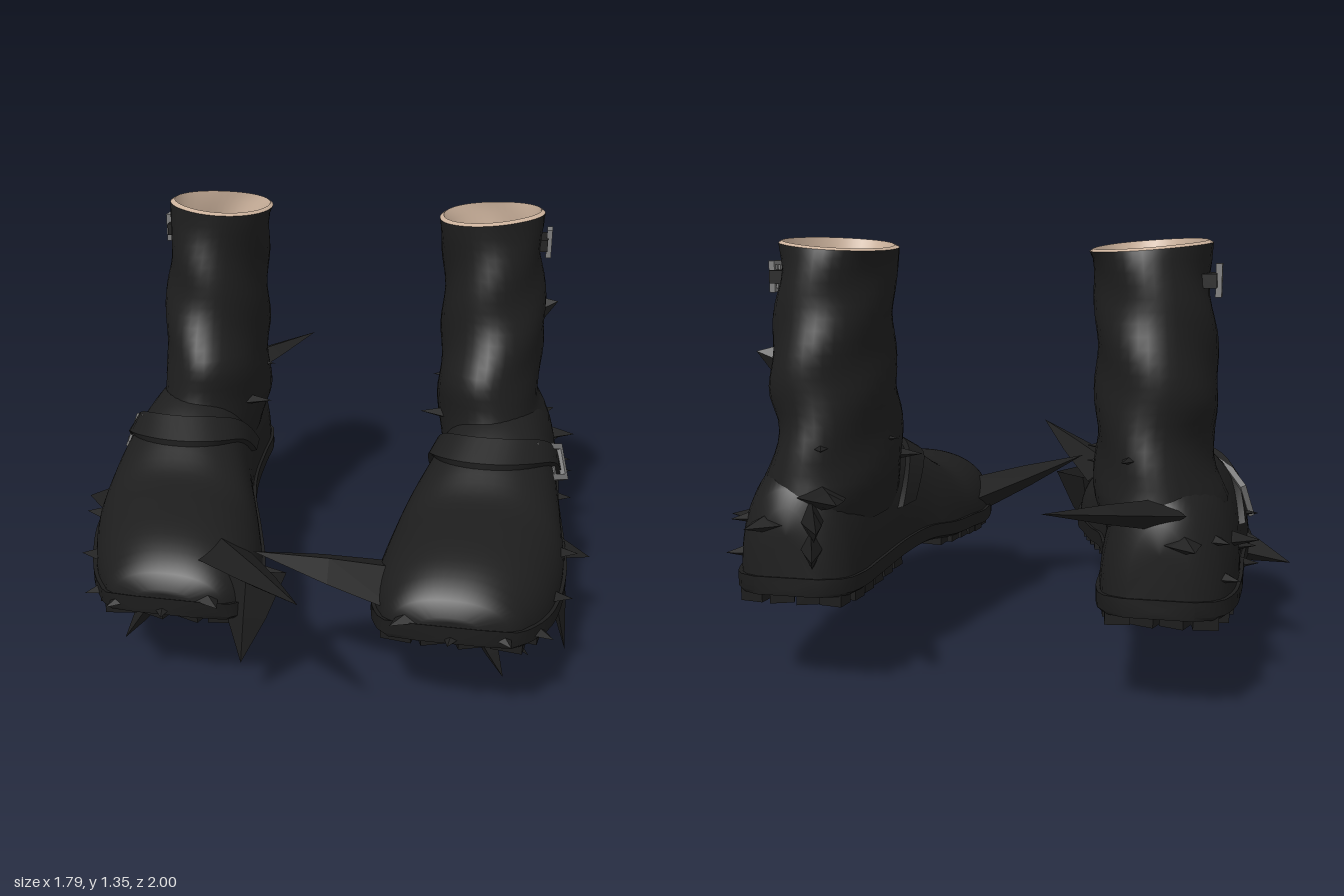
import * as THREE from 'three';
import { toCreasedNormals } from 'three/addons/utils/BufferGeometryUtils.js';

const V = (x, y, z) => new THREE.Vector3(x, y, z);
const material = (name, color, side = THREE.FrontSide) =>
  new THREE.MeshStandardMaterial({ name, color, side });

// Foot sections from heel to toe: z, centre x, half width, top y, sole bottom y
const FOOT = [
  [-0.725, 0.53, 0.09, 0.58, 0.32], [-0.69, 0.53, 0.145, 0.64, 0.315], [-0.6, 0.535, 0.185, 0.69, 0.31],
  [-0.45, 0.54, 0.2, 0.72, 0.31], [-0.2, 0.53, 0.215, 0.73, 0.32], [-0.05, 0.52, 0.235, 0.7, 0.32],
  [0.1, 0.505, 0.265, 0.63, 0.3], [0.25, 0.497, 0.282, 0.56, 0.29], [0.4, 0.485, 0.28, 0.545, 0.275],
  [0.52, 0.475, 0.26, 0.53, 0.28], [0.62, 0.465, 0.22, 0.495, 0.295], [0.69, 0.46, 0.165, 0.445, 0.315],
  [0.715, 0.46, 0.09, 0.41, 0.33],
];
// Shaft sections: y, centre x, half width, front z, back z
const SHAFT = [
  [0.5, 0.52, 0.18, -0.02, -0.71], [0.6, 0.505, 0.195, -0.03, -0.71], [0.7, 0.485, 0.178, -0.05, -0.69],
  [0.8, 0.48, 0.172, -0.055, -0.67], [0.9, 0.487, 0.18, -0.1, -0.67], [1.0, 0.485, 0.177, -0.13, -0.66],
  [1.15, 0.475, 0.17, -0.155, -0.635], [1.25, 0.464, 0.167, -0.165, -0.62], [1.33, 0.457, 0.177, -0.17, -0.61],
];
const sampler = (table) => {
  const it = new THREE.CubicInterpolant(table.map((r) => r[0]), table.flatMap((r) => r.slice(1)), 4);
  return (k) => Array.from(it.evaluate(k));
};
const footTable = sampler(FOOT), shaftTable = sampler(SHAFT);

// Per boot: side, outward offset at the rear and at the toe, long thorns (base, tip, radius, wide axis)
const BOOTS = {
  leftBoot: { side: 1, rear: 0.025, toe: 0.02, thorns: [
    [[0.29, 0.36, 0.48], [-0.12, 0.51, 0.61], 0.14, 'z'], [[0.76, 0.38, 0.2], [0.83, 0, 0.17], 0.085, 'z'],
    [[0.48, 0.6, -0.64], [0.33, 0.64, -0.9], 0.08, 'x'], [[0.5, 0.54, -0.66], [0.4, 0.55, -0.88], 0.08, 'y'],
    [[0.5, 0.46, -0.66], [0.42, 0.465, -0.87], 0.08, 'y'], [[0.68, 0.36, 0.08], [0.89, 0.3, 0.07], 0.13, 'z'],
    [[0.62, 0.97, -0.46], [0.73, 1.01, -0.48], 0.07, 'y'],
  ] },
  rightBoot: { side: -1, rear: 0, toe: -0.09, thorns: [
    [[-0.24, 0.45, 0.54], [0.1, 0.58, 1], 0.1, 'x'], [[-0.53, 0.6, -0.66], [-0.25, 0.67, -1], 0.09, 'x'],
    [[-0.13, 0.45, 0.6], [-0.15, 0.16, 0.68], 0.11, 'x'], [[-0.68, 0.36, 0.04], [-0.9, 0.31, -0.05], 0.13, 'z'],
  ] },
};
// Small thorns shared by both boots: tip x (outward), y, z, radius
const SMALL = [
  [0.8, 0.5, -0.5, 0.075], [0.75, 0.42, -0.66, 0.075], [0.63, 0.53, -0.79, 0.08], [0.79, 0.45, -0.38, 0.07],
  [0.8, 0.36, -0.25, 0.08], [0.79, 0.5, -0.17, 0.06], [0.76, 0.3, 0.6, 0.08], [0.64, 0.34, 0.73, 0.07],
  [0.46, 0.34, 0.755, 0.07], [0.29, 0.38, 0.74, 0.07], [0.81, 0.34, 0.42, 0.08], [0.82, 0.4, 0.24, 0.08],
  [0.62, 0.18, 0.64, 0.07], [0.69, 0.2, 0.54, 0.07], [0.6, 0.2, 0.45, 0.07], [0.73, 0.21, 0.36, 0.07],
  [0.255, 0.66, -0.23, 0.06], [0.28, 0.74, -0.4, 0.06], [0.42, 0.75, -0.71, 0.06], [0.72, 0.53, -0.68, 0.07],
];

const range = (n, a, b) => Array.from({ length: n + 1 }, (_, i) => a + (b - a) * i / n);

// Skin a list of closed rings, facing outward
function loft(rings, caps = true) {
  if (caps) {
    const point = (r) => {
      const c = r.reduce((a, p) => a.add(p), V(0, 0, 0)).divideScalar(r.length);
      return r.map(() => c.clone());
    };
    rings = [point(rings[0]), ...rings, point(rings[rings.length - 1])];
  }
  const n = rings[0].length, pts = rings.flat(), index = [];
  for (let i = 0; i < rings.length - 1; i++)
    for (let j = 0; j < n; j++) {
      const a = i * n + j, b = i * n + (j + 1) % n;
      index.push(a, b, b + n, a, b + n, a + n);
    }
  const mid = pts.reduce((a, p) => a.add(p), V(0, 0, 0)).divideScalar(pts.length);
  let volume = 0;
  for (let i = 0; i < index.length; i += 3) {
    const [a, b, c] = [0, 1, 2].map((k) => pts[index[i + k]].clone().sub(mid));
    volume += a.dot(b.cross(c));
  }
  if (volume < 0) index.reverse();
  const g = new THREE.BufferGeometry().setFromPoints(pts);
  g.setIndex(index);
  g.computeVertexNormals();
  return g;
}

// Rectangular buckle frame with a centre bar, facing +x
function buckleFrame(w, h, t) {
  const rect = (p, x0, y0, x1, y1) => {
    p.moveTo(x0, y0); p.lineTo(x1, y0); p.lineTo(x1, y1); p.lineTo(x0, y1); p.closePath();
    return p;
  };
  const s = rect(new THREE.Shape(), -w / 2, -h / 2, w / 2, h / 2);
  s.holes.push(rect(new THREE.Path(), -w / 2 + t, -h / 2 + t, -t / 3, h / 2 - t));
  s.holes.push(rect(new THREE.Path(), t / 3, -h / 2 + t, w / 2 - t, h / 2 - t));
  return new THREE.ExtrudeGeometry(s, { depth: 0.018, bevelEnabled: false }).rotateY(Math.PI / 2);
}

// Sideways offset of a boot along its length, so the toe can turn in
const offsetAt = (boot, z) => THREE.MathUtils.lerp(boot.rear, boot.toe, THREE.MathUtils.smoothstep(z, 0, 0.65));

function bootParts(boot, mats) {
  const parts = [];
  const add = (name, geo, mat) => parts.push([name, geo, mat]);
  const footAt = (z) => {
    const f = footTable(z);
    f[0] += offsetAt(boot, z);
    return f;
  };
  // Domed foot surface; t runs from the outer edge (0) over the top to the inner edge (PI)
  const footPoint = (z, t, off = 0) => {
    const [cx, w, yt, sb] = footAt(z), c = Math.cos(t), yb = sb + 0.04;
    return V(cx + Math.sign(c) * (w + off) * Math.abs(c) ** 0.88,
      yb + (yt - yb + off) * Math.max(0, Math.sin(t)) ** 0.9, z);
  };
  const shaftRing = (y, scale = 1, back = 0) => {
    const [cx, rx, zf, zb] = shaftTable(y), zc = (zf + zb) / 2 - back, rz = (zf - zb) / 2;
    return range(40, 0, Math.PI * 2).slice(0, 40).map((a) => {
      const wave = 0.006 * Math.sin(3 * a + y * 25);
      const tilt = y > 1.3 ? 0.012 * Math.cos(a) + 0.008 * Math.sin(a) : 0;
      return V(cx + boot.rear + (rx * scale + wave) * Math.cos(a), y + tilt, zc + (rz * scale + wave) * Math.sin(a));
    });
  };

  // Upper: foot and shaft
  const arc = range(28, 0, Math.PI);
  add('footUpper', toCreasedNormals(loft(range(48, -0.725, 0.715).map((z) => arc.map((t) => footPoint(z, t)))), 1), mats.leather);
  add('shaft', loft(range(24, 0.5, 1.33).map((y) => shaftRing(y)), false), mats.leather);

  // Pale collar lining and the dark wall below it
  add('collarLining', toCreasedNormals(loft([shaftRing(1.33), shaftRing(1.337, 0.93, 0.005), shaftRing(1.29, 0.88, 0.012),
    shaftRing(1.22, 0.8, 0.02)], false), 0.7), mats.lining);
  add('innerWall', loft([shaftRing(1.22, 0.8, 0.02), shaftRing(0.95, 0.82), shaftRing(0.7, 0.82)], false), mats.inside);

  // Sole plate with tread blocks
  add('sole', toCreasedNormals(loft(range(40, -0.725, 0.715).map((z) => {
    const [cx, w, , sb] = footAt(z), e = w + 0.01, zz = z * 1.01;
    return [V(cx - e, sb + 0.055, zz), V(cx + e, sb + 0.055, zz), V(cx + e, sb + 0.01, zz),
      V(cx + e * 0.93, sb, zz), V(cx - e * 0.93, sb, zz), V(cx - e, sb + 0.01, zz)];
  })), 0.7), mats.rubber);
  for (const z of [...range(5, -0.66, -0.26), ...range(7, 0.06, 0.62)])
    [-0.74, -0.25, 0.25, 0.74].forEach((k, i) => {
      const [cx, w, , sb] = footAt(z);
      const d = z < -0.2 ? 0.06 : 0.04;
      add('treadBlock', new THREE.BoxGeometry(w * 0.43, d, 0.058)
        .rotateY(i % 3 ? 0.35 : -0.15).translate(cx + w * k, sb, z), mats.rubber);
    });

  // Instep strap following the foot, sweeping back down both sides
  const band = range(26, 0.3, Math.PI - 0.3).map((t) => {
    const z = 0.08 - 0.42 * (1 - Math.sin(t));
    return [[-0.05, 0.02], [0.05, 0.02], [0.05, -0.01], [-0.05, -0.01]].map(([dz, o]) => footPoint(z + dz, t, o));
  });
  add('instepStrap', toCreasedNormals(loft(band), 0.7), mats.leather);
  const place = (g) => g.rotateX(-0.38).rotateZ(0.4).rotateY(-0.3).translate(0.709 + boot.rear, 0.565, -0.08);
  add('instepBuckle', place(buckleFrame(0.2, 0.125, 0.019)), mats.metal);
  add('bucklePin', place(new THREE.BoxGeometry(0.012, 0.01, 0.1).translate(0.018, 0, 0.03)), mats.metal);

  // Small strap and buckle at the top of the shaft
  add('topStrap', new THREE.BoxGeometry(0.05, 0.04, 0.12).translate(0.63 + boot.rear, 1.235, -0.42), mats.leather);
  add('topBuckle', buckleFrame(0.06, 0.095, 0.012).translate(0.65 + boot.rear, 1.235, -0.42), mats.metal);
  return parts;
}

// Flat-sided thorn from base to tip, widest along the given axis
function thorn(base, tip, r, axis) {
  const g = new THREE.CylinderGeometry(0, 1, 1, 4, 2, true), p = g.attributes.position;
  for (let i = 0; i < p.count; i++)
    if (Math.abs(p.getY(i)) < 0.01) p.setXYZ(i, p.getX(i) * 1.15, 0, p.getZ(i) * 1.15);
  g.translate(0, 0.5, 0);
  const dir = tip.clone().sub(base), len = dir.length();
  dir.normalize();
  const wide = V(0, 0, 0);
  wide[axis] = 1;
  wide.addScaledVector(dir, -wide.dot(dir)).normalize();
  const m = new THREE.Matrix4().makeBasis(wide, dir, wide.clone().cross(dir));
  g.scale(r, len, r * 0.5).applyMatrix4(m).translate(base.x, base.y, base.z);
  const flat = g.toNonIndexed();
  flat.computeVertexNormals();
  return flat;
}

function mirrorX(g) {
  g.scale(-1, 1, 1);
  const idx = g.index ? Array.from(g.index.array) : [...Array(g.attributes.position.count).keys()];
  for (let i = 0; i < idx.length; i += 3) [idx[i], idx[i + 1]] = [idx[i + 1], idx[i]];
  g.setIndex(idx);
  return g;
}

export function createModel() {
  const mats = {
    leather: material('blackLeather', 0x1e1e1e, THREE.DoubleSide),
    rubber: material('soleRubber', 0x1c1c1c),
    inside: material('shaftInside', 0x222222, THREE.DoubleSide),
    lining: material('paleLining', 0xcdb39d, THREE.DoubleSide),
    metal: material('buckleMetal', 0x7c7c7c),
  };
  const model = new THREE.Group();
  model.name = 'thornedBoots';
  for (const [name, boot] of Object.entries(BOOTS)) {
    const { side } = boot, group = new THREE.Group();
    group.name = name;
    const add = (part, geo, mat) => {
      const mesh = new THREE.Mesh(geo, mat);
      mesh.name = part;
      group.add(mesh);
    };
    for (const [part, geo, mat] of bootParts(boot, mats)) add(part, side < 0 ? mirrorX(geo) : geo, mat);
    // Small thorns grow away from the axis of the foot
    for (const [x, y, z, r] of SMALL) {
      const dx = offsetAt(boot, z), tip = V((x + dx) * side, y, z);
      const axis = V((0.5 + dx) * side, Math.max(y, 0.36), THREE.MathUtils.clamp(z, -0.5, 0.5));
      const base = tip.clone().add(axis.sub(tip).setLength(0.15));
      add('smallThorn', thorn(base, tip, r, Math.abs(z) > 0.66 ? 'x' : 'z'), mats.leather);
    }
    for (const [b, t, r, axis] of boot.thorns) add('longThorn', thorn(V(...b), V(...t), r, axis), mats.leather);
    model.add(group);
  }
  return model;
}
